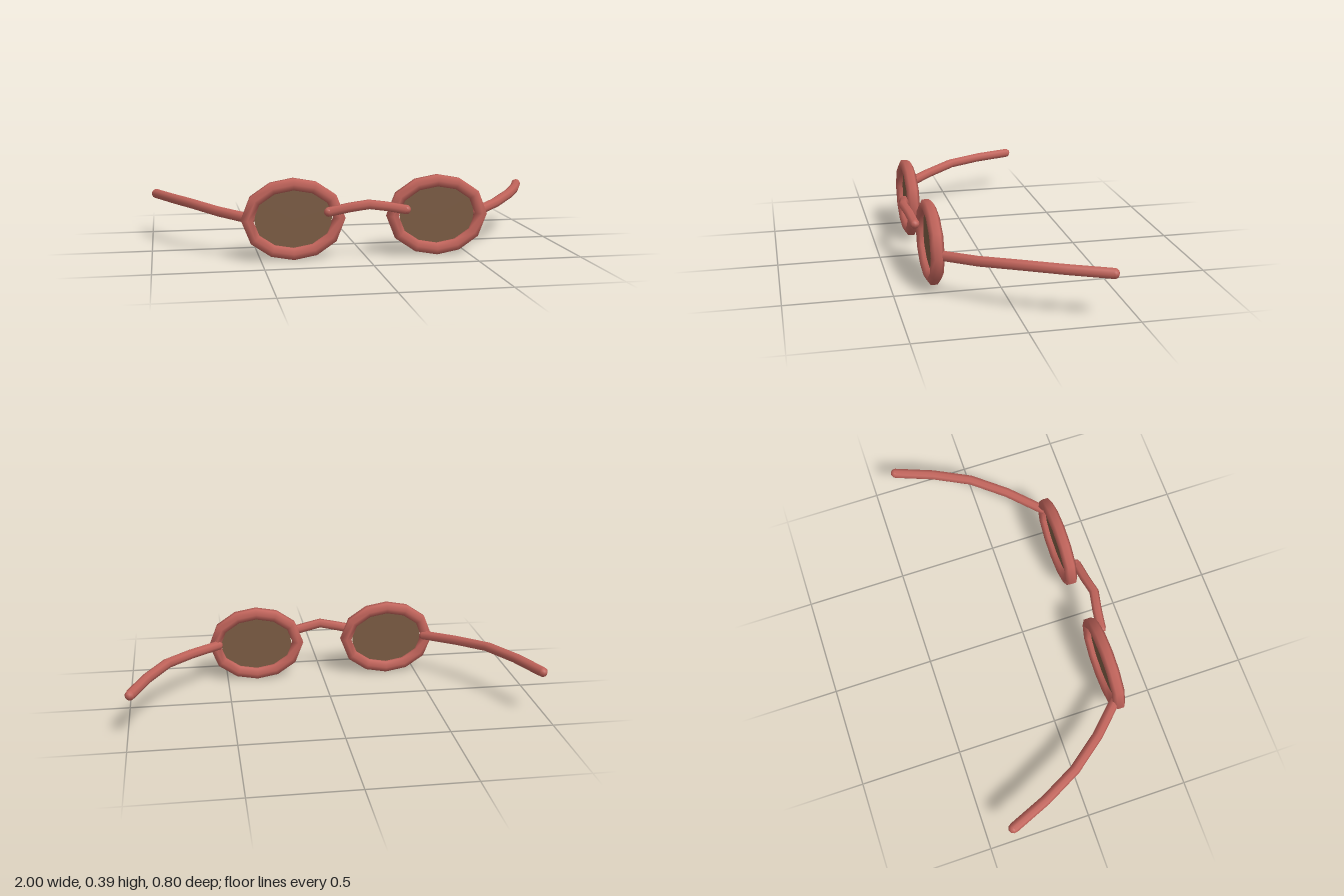
import * as THREE from 'three';

const frameMat = new THREE.MeshStandardMaterial({ color: 0xc0635a });
const lensMat = new THREE.MeshStandardMaterial({ color: 0x7a5a42, side: THREE.DoubleSide });

const V = (x, y, z) => new THREE.Vector3(x, y, z);

function mesh(name, geometry, material = frameMat) {
  const m = new THREE.Mesh(geometry, material);
  m.name = name;
  return m;
}

// Wire rod along a few points, with rounded caps at both ends
function rod(name, points, segments, radius, sides) {
  const group = new THREE.Group();
  group.name = name;
  const curve = new THREE.CatmullRomCurve3(points);
  group.add(mesh(name + 'Rod', new THREE.TubeGeometry(curve, segments, radius, sides)));
  for (const end of [points[0], points[points.length - 1]]) {
    const cap = mesh(name + 'Cap', new THREE.SphereGeometry(radius * 0.95, 8, 6));
    cap.position.copy(end);
    group.add(cap);
  }
  return group;
}

// Oval twelve-segment rim with a hexagonal section
function rimGeometry(rx, ry, radius) {
  const points = [];
  for (let i = 0; i < 24; i++) {
    const a = (i / 24) * Math.PI * 2;
    points.push(V(Math.sin(a) * rx, Math.cos(a) * ry, 0));
  }
  const curve = new THREE.CatmullRomCurve3(points, true);
  return new THREE.TubeGeometry(curve, 12, radius, 6, true);
}

export function createModel() {
  const model = new THREE.Group();
  model.name = 'glasses';

  for (const [side, s] of [['left', 1], ['right', -1]]) {
    // Rim and lens
    const rim = mesh(side + 'Rim', rimGeometry(0.217, 0.165, 0.032));
    rim.position.set(s * 0.345, 0.193, 0.305);
    model.add(rim);

    const lens = mesh(side + 'Lens', new THREE.CircleGeometry(1, 24), lensMat);
    lens.scale.set(0.182, 0.165, 1);
    lens.position.copy(rim.position);
    model.add(lens);

    // Temple arm, splaying outwards to the back
    model.add(rod(side + 'Arm', [
      V(s * 0.545, 0.198, 0.29),
      V(s * 0.665, 0.21, 0.17),
      V(s * 0.8, 0.228, 0),
      V(s * 0.9, 0.229, -0.19),
      V(s * 0.975, 0.225, -0.376),
    ], 4, 0.025, 8));
  }

  // Arched nose bridge in front of the rims
  model.add(rod('bridge', [
    V(-0.185, 0.229, 0.349),
    V(-0.09, 0.249, 0.36),
    V(0, 0.264, 0.376),
    V(0.09, 0.249, 0.36),
    V(0.185, 0.229, 0.349),
  ], 4, 0.024, 6));

  return model;
}
